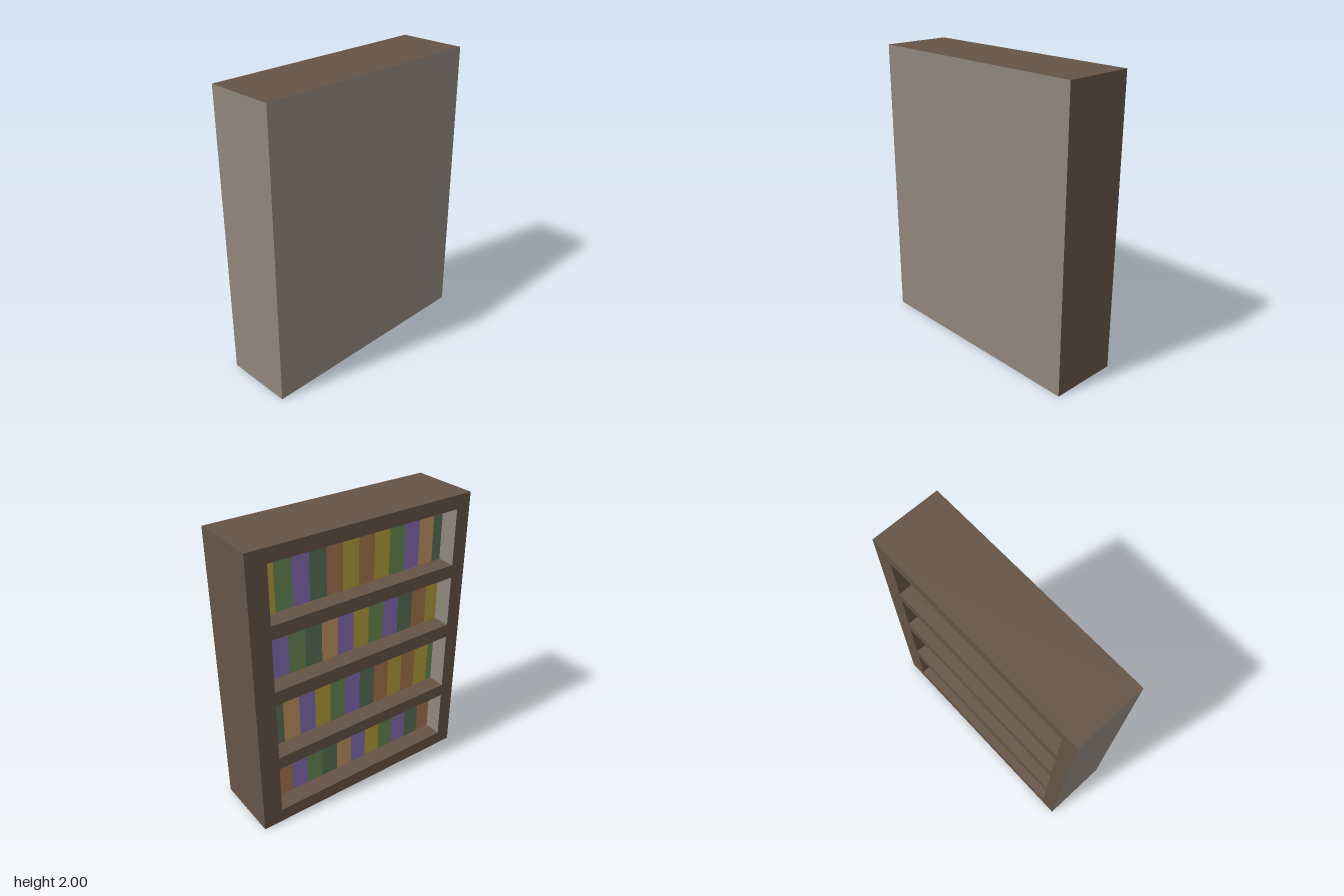
import * as THREE from 'three';

const mat = (name, color) => new THREE.MeshStandardMaterial({ name, color });

export function createModel() {
  const group = new THREE.Group();
  group.name = 'bookcase';

  const wood = mat('dark wood', 0x655446);
  const grey = mat('grey wood', 0x90867c);
  const books = {
    y: mat('yellow cover', 0xb89f3a),
    g: mat('green cover', 0x6a8a53),
    p: mat('purple cover', 0x876fb6),
    d: mat('dark green cover', 0x5a7155),
    b: mat('brown cover', 0xa9754f),
    t: mat('tan cover', 0xc19464),
  };

  // Box given by its limits on each axis
  function box(name, [x0, x1], [y0, y1], [z0, z1], material, parent = group) {
    const mesh = new THREE.Mesh(new THREE.BoxGeometry(x1 - x0, y1 - y0, z1 - z0), material);
    mesh.position.set((x0 + x1) / 2, (y0 + y1) / 2, (z0 + z1) / 2);
    mesh.name = name;
    parent.add(mesh);
    return mesh;
  }

  const W = 0.828, D = 0.242, H = 2;
  const inner = [-0.72, 0.69];  // opening between the sides
  const bookFront = -0.115;     // the open side faces -z
  const panelZ = 0.2;

  // Face order: +x, -x, +y, -y, +z, -z
  const greyRear = [wood, wood, wood, wood, grey, wood];
  const greySides = [grey, grey, wood, wood, grey, wood];

  // Carcass
  box('leftSide', [inner[1], W], [0, H], [-D, D], greyRear);
  box('rightSide', [-W, inner[0]], [0, H], [-D, D], greySides);
  box('rearPanel', inner, [0, H], [panelZ, D], greyRear);

  // Base, shelves and top board
  const boards = [[0, 0.098], [0.455, 0.545], [0.96, 1.057], [1.422, 1.515], [1.905, H]];
  const names = ['base', 'lowerShelf', 'middleShelf', 'upperShelf', 'topBoard'];
  boards.forEach((y, i) => box(names[i], inner, y, [-D, panelZ], wood));

  // Rows of books from bottom to top: covers, first joint, book width
  const rows = [
    ['ybpgdtpygpdb', 0.645, 0.125],
    ['dtpygpdbybyg', 0.566, 0.1234],
    ['bpgdtpygpdby', 0.628, 0.1243],
    ['ygpdbybygptd', 0.581, 0.1227],
  ];
  rows.forEach(([covers, first, width], r) => {
    const row = new THREE.Group();
    row.name = `bookRow${r + 1}`;
    group.add(row);
    const y = [boards[r][1], boards[r + 1][0]];
    [...covers].forEach((c, i) => {
      const x1 = i === 0 ? inner[1] : first - (i - 1) * width;
      const x0 = i === covers.length - 1 ? inner[0] : first - i * width;
      box('book', [x0, x1], y, [bookFront, panelZ], books[c], row);
    });
  });

  return group;
}
